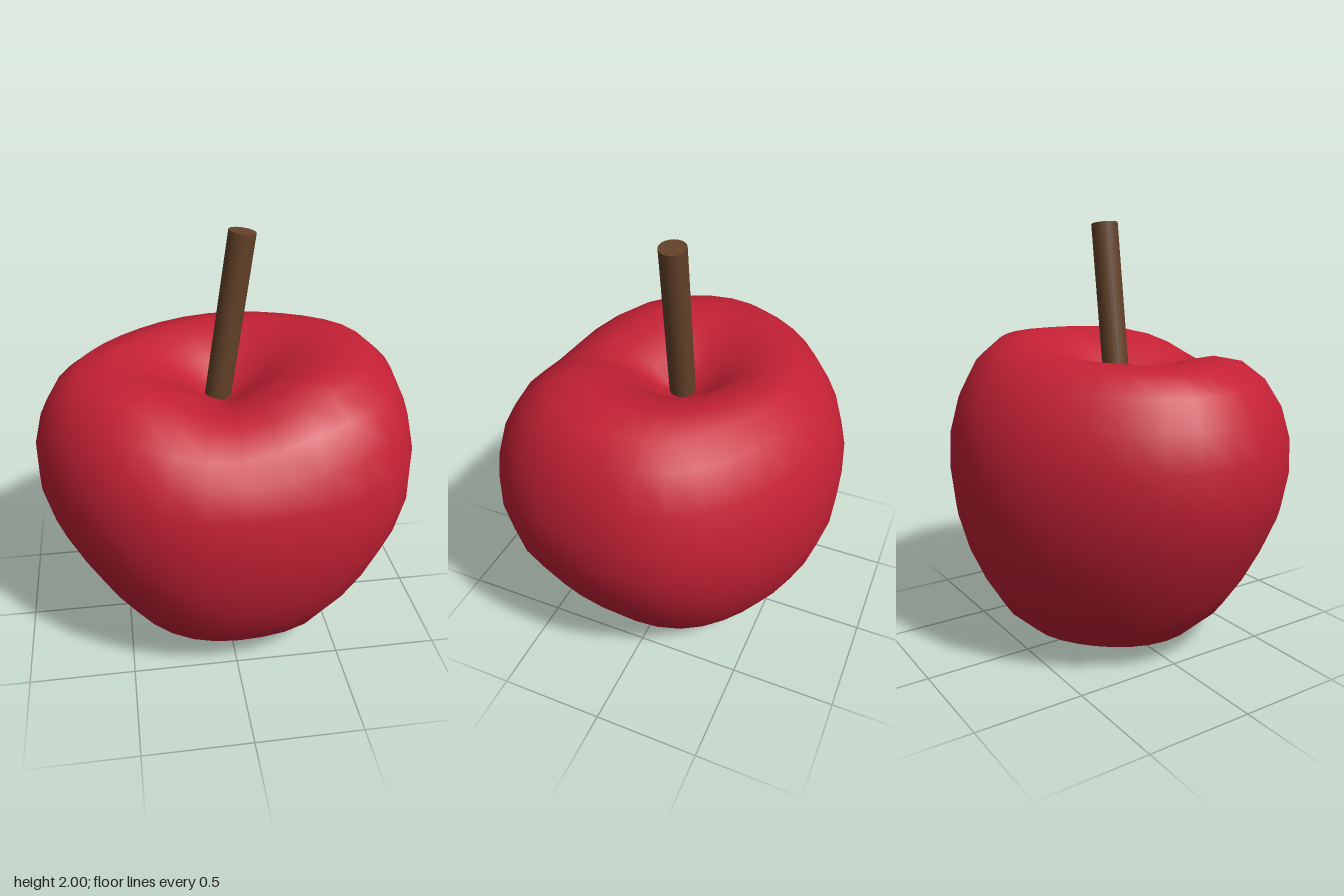
import * as THREE from 'three';
import { mergeVertices } from 'three/addons/utils/BufferGeometryUtils.js';

const SEGMENTS = 32;

// Rings from bottom pole to dimple: [x radius, z radius, height, share of rim unevenness]
const RINGS = [
  [0, 0, 0, 0], [0.14, 0.14, 0.01, 0], [0.3, 0.3, 0.03, 0], [0.44, 0.45, 0.09, 0],
  [0.56, 0.57, 0.2, 0], [0.665, 0.66, 0.35, 0], [0.755, 0.73, 0.51, 0], [0.84, 0.775, 0.68, 0],
  [0.888, 0.79, 0.86, 0], [0.888, 0.782, 1.03, 0.1], [0.85, 0.735, 1.19, 0.45],
  [0.775, 0.65, 1.33, 0.85], [0.67, 0.54, 1.415, 1], [0.52, 0.43, 1.432, 1],
  [0.36, 0.31, 1.4, 0.85], [0.21, 0.19, 1.32, 0.5], [0.1, 0.1, 1.24, 0.15], [0, 0, 1.21, 0],
];

// Height offset of the rim: raised to one side, with a sag at the front
function rimOffset(angle) {
  const fromFront = Math.atan2(Math.sin(angle - 1.64), Math.cos(angle - 1.64));
  return 0.005 + 0.037 * Math.cos(angle) - 0.115 * Math.exp(-((fromFront / 0.49) ** 2));
}

// Uneven outline, fullest at the front towards +x
function bulge(angle) {
  const diagonal = Math.sin(2 * angle);
  return 1 + diagonal ** 2 * (0.032 * Math.cos(angle) + 0.046 * Math.sin(angle) + 0.015 * diagonal);
}

function appleGeometry() {
  const positions = [];
  const indices = [];
  RINGS.forEach(([rx, rz, y, share], row) => {
    for (let i = 0; i < SEGMENTS; i++) {
      const a = (i / SEGMENTS) * Math.PI * 2;
      const k = bulge(a);
      positions.push(rx * k * Math.cos(a), y + share * rimOffset(a), rz * k * Math.sin(a));
      if (row === 0) continue;
      const next = (i + 1) % SEGMENTS;
      const low = (row - 1) * SEGMENTS;
      const high = row * SEGMENTS;
      if (row > 1) indices.push(low + i, high + next, low + next);
      if (row < RINGS.length - 1) indices.push(low + i, high + i, high + next);
    }
  });
  const geometry = new THREE.BufferGeometry();
  geometry.setAttribute('position', new THREE.Float32BufferAttribute(positions, 3));
  geometry.setIndex(indices);
  const merged = mergeVertices(geometry);
  merged.computeVertexNormals();
  return merged;
}

export function createModel() {
  const group = new THREE.Group();
  group.name = 'apple';

  // Fruit
  const fruit = new THREE.Mesh(appleGeometry(), new THREE.MeshStandardMaterial({ color: 0xc52135 }));
  fruit.name = 'fruit';
  group.add(fruit);

  // Leaning stem, rooted in the dimple
  const length = 0.9;
  const stemGeometry = new THREE.CylinderGeometry(0.062, 0.062, length, 20);
  stemGeometry.translate(0, -length / 2, 0);
  const stem = new THREE.Mesh(stemGeometry, new THREE.MeshStandardMaterial({ color: 0x644229 }));
  stem.name = 'stem';
  stem.position.set(0.086, 1.991, 0);
  stem.rotation.z = -0.14;
  group.add(stem);

  return group;
}
